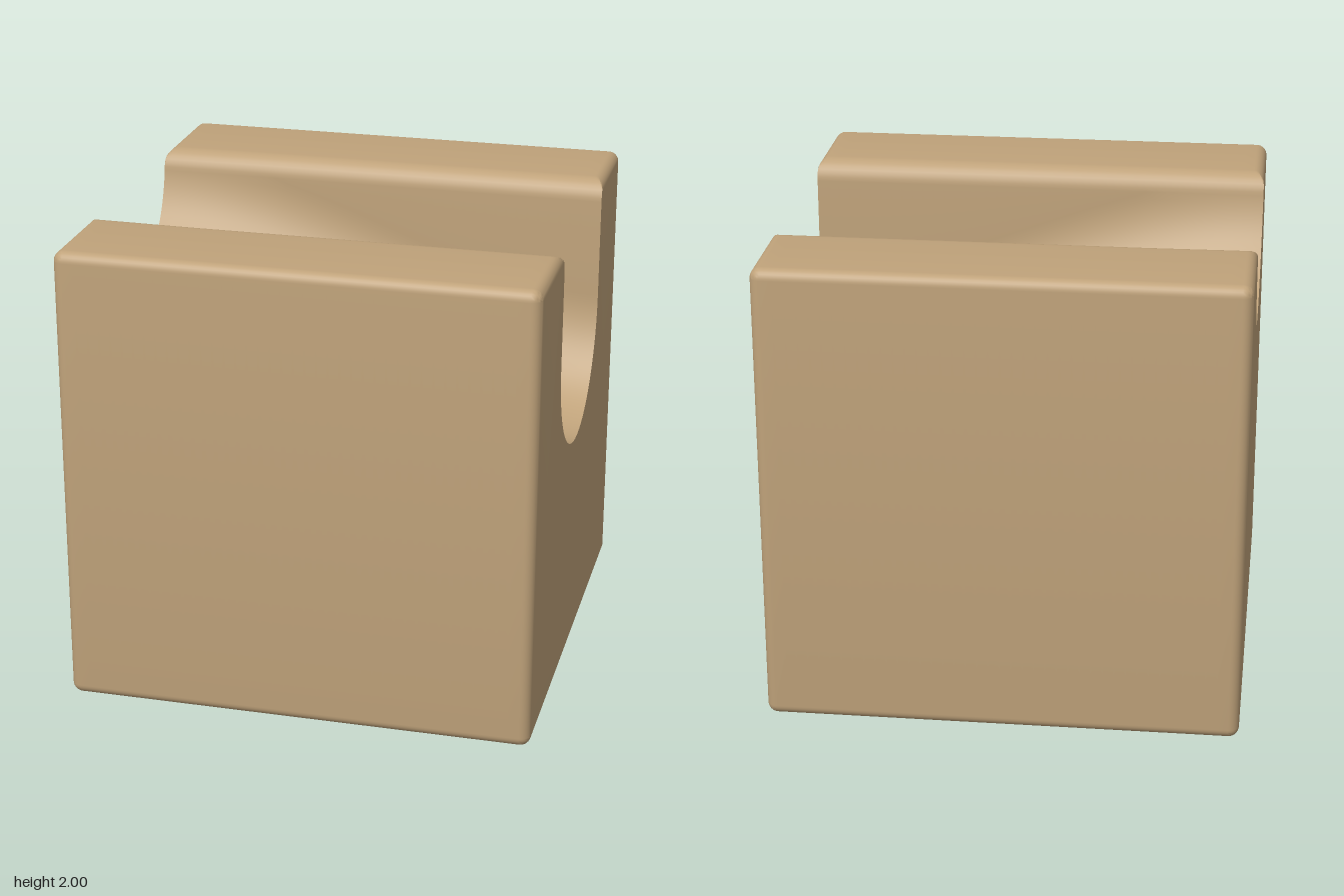
import * as THREE from 'three';
import { toCreasedNormals } from 'three/addons/utils/BufferGeometryUtils.js';

const EDGE = 0.045;    // rounding of the outer edges
const GROOVE = 0.48;   // groove radius
const LIP = 0.09;      // rounding of the groove's upper edges
const SEG = 8;

// Height of the groove's axis: high at -x, easing down to +x.
function axisHeight(x) {
  const t = (x + 1) / 2;
  return 1.99 - 0.51 * t * t * (3 - 2 * t);
}

// Closed cross-section in (z, y); rho is the corner radius left at this station.
function outline(x, rho) {
  const points = [];
  const inset = EDGE - rho;
  const arc = (cz, cy, rz, ry, from, to, n) => {
    for (let i = 0; i <= n; i++) {
      const a = from + (to - from) * i / n;
      points.push(new THREE.Vector2(cz + rz * Math.cos(a), cy + ry * Math.sin(a)));
    }
  };
  const q = Math.PI / 2, core = 1 - EDGE;
  // bottom and front corners
  arc(-core, EDGE, rho, rho, 2 * q, 3 * q, SEG);
  arc(core, EDGE, rho, rho, 3 * q, 4 * q, SEG);
  arc(core, 2 - EDGE, rho, rho, 0, q, SEG);
  // lip, round groove, lip
  const c = axisHeight(x), lipY = 2 - LIP;
  const a = Math.asin(Math.max(0, c - lipY) / GROOVE);
  const wall = GROOVE * Math.cos(a);
  arc(wall + LIP, lipY, LIP, LIP, q, 2 * q, SEG);
  arc(0, c, GROOVE, GROOVE, -a, a - Math.PI, 40);
  arc(-wall - LIP, lipY, LIP, LIP, 0, q, SEG);
  // back upper corner
  arc(-core, 2 - EDGE, rho, rho, q, 2 * q, SEG);
  // the end bevel lowers the top but leaves the groove alone
  for (const p of points) p.y = Math.min(p.y, 2 - inset);
  return points;
}

function blockGeometry() {
  // stations along x: rounded end, body, rounded end
  const stations = [];
  for (let i = 0; i < SEG; i++) {
    const a = i / SEG * Math.PI / 2;
    stations.push([-1 + EDGE * (1 - Math.cos(a)), Math.max(0.001, EDGE * Math.sin(a))]);
  }
  const ends = stations.map(([x, rho]) => [-x, rho]).reverse();
  for (let i = 0; i <= 40; i++) stations.push([(1 - EDGE) * (i / 20 - 1), EDGE]);
  stations.push(...ends);

  const rings = stations.map(([x, rho]) => outline(x, rho));
  const n = rings[0].length, last = rings.length - 1;
  const positions = [], index = [];
  rings.forEach((ring, s) => ring.forEach(p => positions.push(stations[s][0], p.y, p.x)));

  for (let s = 0; s < last; s++) {
    for (let i = 0; i < n; i++) {
      const j = (i + 1) % n;
      const a = s * n + i, b = s * n + j;
      index.push(a, a + n, b, b, a + n, b + n);
    }
  }
  // flat ends
  for (const [a, b, c] of THREE.ShapeUtils.triangulateShape(rings[0], [])) index.push(a, b, c);
  const o = last * n;
  for (const [a, b, c] of THREE.ShapeUtils.triangulateShape(rings[last], [])) index.push(o + a, o + c, o + b);

  const geometry = new THREE.BufferGeometry();
  geometry.setAttribute('position', new THREE.Float32BufferAttribute(positions, 3));
  geometry.setIndex(index);
  return toCreasedNormals(geometry, 0.6);
}

export function createModel() {
  const wood = new THREE.MeshStandardMaterial({ color: 0xbfa27a });
  wood.name = 'wood';
  const block = new THREE.Mesh(blockGeometry(), wood);
  block.name = 'groovedBlock';
  const group = new THREE.Group();
  group.name = 'slopedTrackBlock';
  group.add(block);
  return group;
}
